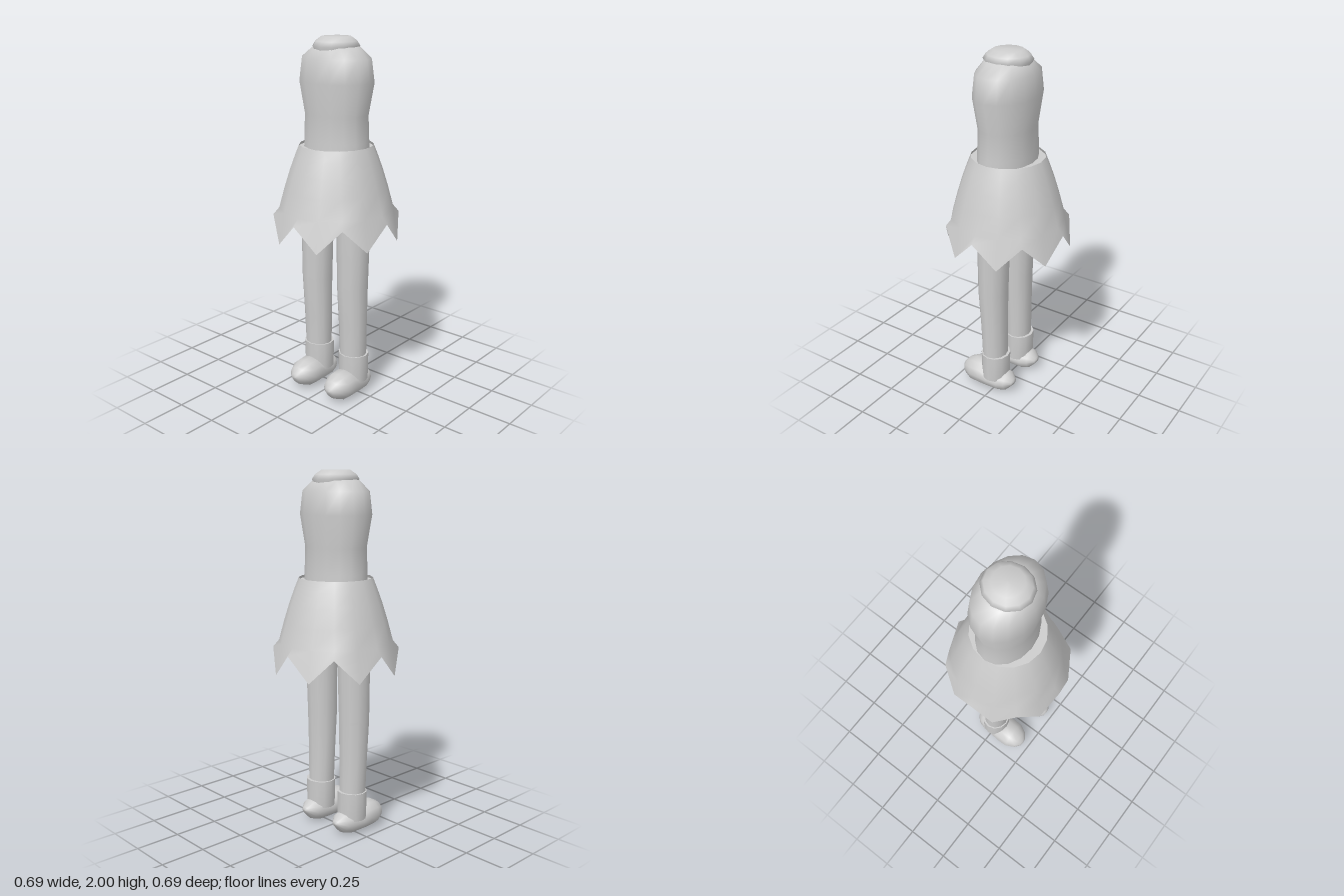
import * as THREE from 'three';

const grey = new THREE.MeshStandardMaterial({ color: 0xcccccc, side: THREE.DoubleSide });
grey.name = 'plain grey';

// Smooth skin over elliptical rings, bottom to top: [y, radiusX, radiusZ, centreX, centreZ]
function loft(rings, sides, moveVertex) {
  const pos = [], index = [];
  rings.forEach(([y, rx, rz = rx, cx = 0, cz = 0], i) => {
    for (let j = 0; j < sides; j++) {
      const a = (j / sides) * Math.PI * 2;
      const dy = moveVertex ? moveVertex(i, j) : 0;
      pos.push(cx + rx * Math.sin(a), y + dy, cz + rz * Math.cos(a));
    }
  });
  for (let i = 0; i < rings.length - 1; i++) {
    for (let j = 0; j < sides; j++) {
      const k = (j + 1) % sides;
      const a = i * sides + j, b = i * sides + k, c = b + sides, d = a + sides;
      index.push(a, b, c, a, c, d);
    }
  }
  const geo = new THREE.BufferGeometry();
  geo.setAttribute('position', new THREE.Float32BufferAttribute(pos, 3));
  geo.setIndex(index);
  geo.computeVertexNormals();
  return geo;
}

function add(parent, name, geo) {
  const mesh = new THREE.Mesh(geo, grey);
  mesh.name = name;
  parent.add(mesh);
  return mesh;
}

function createLeg(name, x) {
  const leg = new THREE.Group();
  leg.name = name;
  add(leg, 'stocking', loft([
    [0.2, 0.077, 0.07, 0, 0.005],
    [0.42, 0.082, 0.073, 0, 0.01],
    [0.66, 0.088, 0.083, 0, 0.016],
    [1.0, 0.094, 0.089, 0, 0.011],
    [1.25, 0.095, 0.095, 0, 0.008],
    [1.42, 0.07, 0.09, 0, 0.005],
  ], 12));
  add(leg, 'ankleCuff', loft([
    [0.09, 0.085, 0.078, 0, 0.002],
    [0.17, 0.087, 0.081, 0, 0.002],
    [0.25, 0.087, 0.082, 0, 0.002],
  ], 12));
  add(leg, 'cuffRim', loft([[0.25, 0.087, 0.082, 0, 0.002], [0.25, 0.07, 0.065, 0, 0.004]], 12));
  // The shoe runs heel to toe, then is tipped so that its length lies along z
  const shoe = add(leg, 'shoe', loft([
    [-0.125, 0, 0, 0, -0.078],
    [-0.12, 0.028, 0.018, 0, -0.078],
    [-0.085, 0.062, 0.055, 0, -0.075],
    [-0.04, 0.074, 0.064, 0, -0.069],
    [0.03, 0.08, 0.066, 0, -0.071],
    [0.08, 0.088, 0.08, 0, -0.085],
    [0.14, 0.085, 0.076, 0, -0.084],
    [0.19, 0.06, 0.051, 0, -0.083],
    [0.215, 0.028, 0.022, 0, -0.082],
    [0.22, 0, 0, 0, -0.082],
  ], 12));
  shoe.rotation.x = Math.PI / 2;
  leg.position.x = x;
  return leg;
}

export function createModel() {
  const model = new THREE.Group();
  model.name = 'dressedFigure';

  add(model, 'torso', loft([
    [1.38, 0.195, 0.15],
    [1.46, 0.193, 0.147],
    [1.6, 0.186, 0.145],
    [1.77, 0.219, 0.166],
    [1.89, 0.202, 0.154],
    [1.945, 0.13, 0.115],
    [1.965, 0.06, 0.06],
    [1.97, 0, 0],
  ], 16));

  add(model, 'neck', loft([
    [1.9, 0.1, 0.11],
    [1.95, 0.122, 0.132],
    [1.975, 0.108, 0.115],
    [1.998, 0.078, 0.078],
    [2.0, 0, 0],
  ], 12));

  // Skirt with a zigzag hem: every second hem corner hangs lower
  add(model, 'skirt', loft([
    [1.05, 0.345],
    [1.09, 0.312],
    [1.2, 0.282],
    [1.3, 0.251],
    [1.38, 0.222],
    [1.435, 0.2],
  ], 16, (i, j) => (i === 0 && j % 2 ? -0.13 : 0)));

  // Closing surface inside the waist
  add(model, 'waistPanel', loft([[1.42, 0.203], [1.42, 0.14]], 16));

  model.add(createLeg('leftLeg', 0.128), createLeg('rightLeg', -0.128));
  return model;
}
